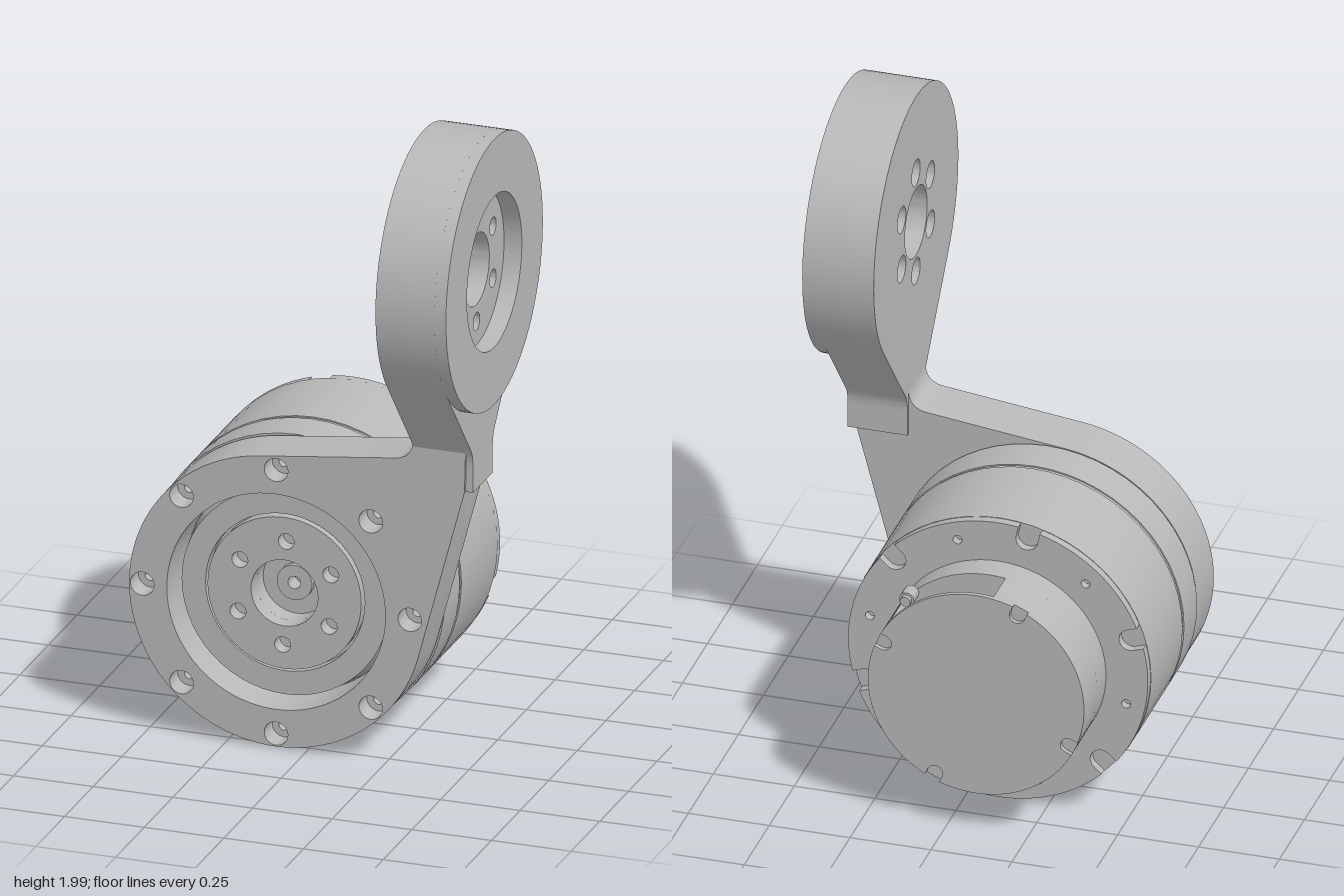
import * as THREE from 'three';
import { toCreasedNormals } from 'three/addons/utils/BufferGeometryUtils.js';

const rad = THREE.MathUtils.degToRad;
const CX = -0.095, CY = 0.472; // motor axis
const metal = new THREE.MeshStandardMaterial({ color: 0xb8b8b8 });
metal.name = 'grey metal';

function addMesh(parent, geometry, name) {
  const mesh = new THREE.Mesh(toCreasedNormals(geometry, rad(30)), metal);
  mesh.name = name;
  parent.add(mesh);
  return mesh;
}

// Extrude a shape from depth a to depth b
function slab(parent, shape, a, b, name) {
  const geo = new THREE.ExtrudeGeometry(shape, { depth: b - a, bevelEnabled: false, curveSegments: 40 });
  return addMesh(parent, geo.translate(0, 0, a), name);
}

function addHole(shape, x, y, r) {
  shape.holes.push(new THREE.Path().absarc(x, y, r, 0, Math.PI * 2, false));
}

function addHoleRing(shape, x, y, ringR, r, count, start) {
  for (let i = 0; i < count; i++) {
    const a = rad(start + (i * 360) / count);
    addHole(shape, x + ringR * Math.cos(a), y + ringR * Math.sin(a), r);
  }
}

const disc = (r) => new THREE.Shape().absarc(0, 0, r, 0, Math.PI * 2, false);

// Disc with round-bottomed screw notches open at the rim
function notchedDisc(r, count, start, w, inset) {
  const s = new THREE.Shape();
  const half = Math.asin(w / r);
  const step = (Math.PI * 2) / count;
  for (let i = 0; i < count; i++) {
    const a = rad(start) + i * step;
    const c = r - inset;
    s.absarc(c * Math.cos(a), c * Math.sin(a), w, a - Math.PI / 2, a - Math.PI * 1.5, true);
    s.absarc(0, 0, r, a + half, a + step - half, false);
  }
  return s;
}

function buildMotor() {
  const motor = new THREE.Group();
  motor.name = 'motor';
  motor.position.set(CX, CY, 0);

  // Housing with shallow seam, front flange and stepped central bore
  const profile = [
    [0, -0.36], [0.465, -0.36], [0.465, -0.045], [0.461, -0.045], [0.461, -0.03], [0.465, -0.03],
    [0.465, 0.1], [0.455, 0.1], [0.455, 0.11], [0.342, 0.11], [0.325, 0.2], [0.25, 0.2],
    [0.25, 0.16], [0.105, 0.16], [0.105, 0.1], [0.055, 0.1], [0.055, 0.12], [0.02, 0.12],
    [0.02, 0.06], [0, 0.06],
  ].map(([r, z]) => new THREE.Vector2(r, z));
  addMesh(motor, new THREE.LatheGeometry(profile, 56).rotateX(Math.PI / 2), 'motorHousing');

  // Output flange with bolt circle
  const flange = disc(0.241);
  addHole(flange, 0, 0, 0.105);
  addHoleRing(flange, 0, 0, 0.165, 0.025, 6, 28);
  slab(motor, flange, 0.155, 0.207, 'outputFlange');

  // Rear rim with screw notches and small holes
  const rim = notchedDisc(0.463, 6, 42, 0.034, 0.034);
  addHoleRing(rim, 0, 0, 0.405, 0.014, 6, 72);
  slab(motor, rim, -0.387, -0.36, 'rearRim');

  // Rear cap: base, layer with connector pocket, notched lid
  slab(motor, disc(0.334), -0.475, -0.387, 'rearCapBase');
  const pocket = new THREE.Shape();
  pocket.absarc(0, 0, 0.334, Math.asin(0.2 / 0.334), Math.acos(-0.05 / 0.334), true);
  pocket.lineTo(-0.05, 0.2);
  slab(motor, pocket, -0.592, -0.475, 'rearCapPocket');
  slab(motor, notchedDisc(0.334, 4, 24, 0.024, 0.022), -0.607, -0.592, 'rearCapLid');

  // Connector pins in the pocket
  for (const x of [0.1, 0.24]) {
    const y = 0.237;
    for (const [r, z, len] of [[0.023, -0.5, 0.05], [0.016, -0.515, 0.05]]) {
      const pin = new THREE.CylinderGeometry(r, r, len, 16).rotateX(Math.PI / 2);
      addMesh(motor, pin, 'connectorPin').position.set(x, y, z);
    }
  }
  return motor;
}

function buildMountingPlate() {
  const plate = new THREE.Group();
  plate.name = 'mountingPlate';
  const makeShape = (boltR) => {
    const s = new THREE.Shape();
    s.absarc(CX, CY, 0.461, rad(-15), rad(97), true);
    s.lineTo(0.28, 0.982);
    s.quadraticCurveTo(0.335, 0.99, 0.335, 1.05);
    s.lineTo(0.5, 1.05);
    s.lineTo(0.496, 0.9);
    addHole(s, CX, CY, 0.343);
    addHoleRing(s, CX, CY, 0.42, boltR, 8, 0);
    return s;
  };
  // Screw seats lie below the front face
  slab(plate, makeShape(0.016), 0.11, 0.21, 'plateBack');
  slab(plate, makeShape(0.037), 0.21, 0.28, 'plateFront');
  return plate;
}

function buildArm() {
  const arm = new THREE.Group();
  arm.name = 'arm';
  arm.position.set(0, 1.577, 0.185);
  arm.rotation.y = Math.PI / 2; // extrusion depth runs along x
  const R = 0.423;

  // Round head narrowing by tangents to a neck
  const teardrop = () => {
    const s = new THREE.Shape();
    s.absarc(0, 0, R, rad(-39.3), rad(219.3), false);
    s.lineTo(-0.105, -0.535);
    s.quadraticCurveTo(-0.085, -0.56, -0.085, -0.6);
    s.lineTo(-0.085, -0.677);
    s.lineTo(0.085, -0.677);
    s.lineTo(0.085, -0.6);
    s.quadraticCurveTo(0.085, -0.56, 0.105, -0.535);
    return s;
  };
  // Bore and bolt holes, wider on the inner side
  for (const [a, b, boltR, name] of [[0.335, 0.43, 0.042, 'armInner'], [0.43, 0.5, 0.028, 'armWeb']]) {
    const s = teardrop();
    addHole(s, 0, 0, 0.112);
    addHoleRing(s, 0, 0, 0.166, boltR, 6, 30);
    slab(arm, s, a, b, name);
  }
  // Recessed outer face and raised round lip
  const outer = teardrop();
  addHole(outer, 0, 0, 0.24);
  slab(arm, outer, 0.5, 0.52, 'armOuter');
  const lip = disc(R);
  addHole(lip, 0, 0, 0.24);
  slab(arm, lip, 0.52, 0.556, 'armLip');
  return arm;
}

export function createModel() {
  const model = new THREE.Group();
  model.name = 'motorWithArm';
  model.add(buildMotor(), buildMountingPlate(), buildArm());
  return model;
}
